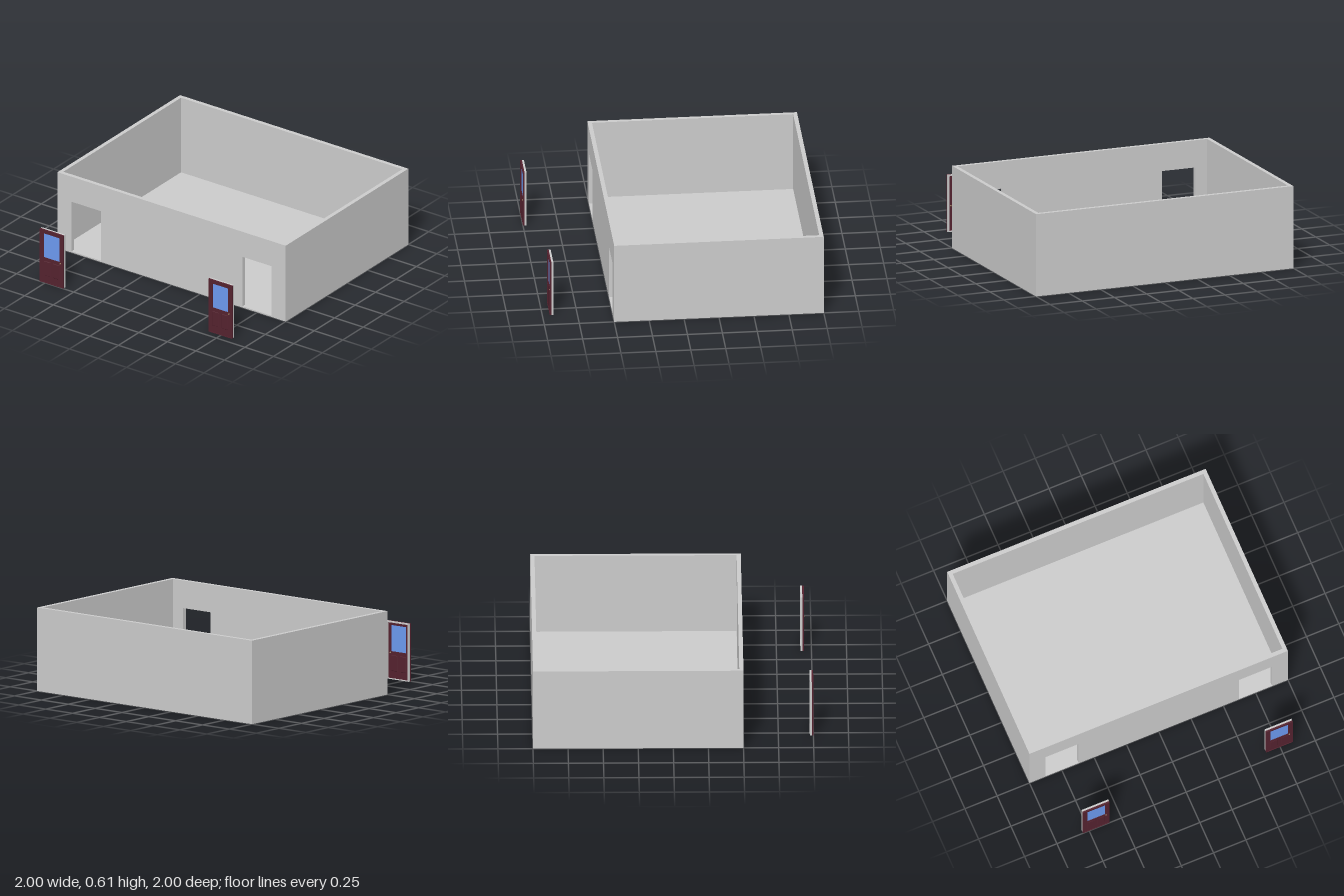
import * as THREE from 'three';

const grey = new THREE.MeshStandardMaterial({ color: 0xcccccc });
const maroon = new THREE.MeshStandardMaterial({ color: 0x55222f });
const glassBlue = new THREE.MeshStandardMaterial({ color: 0x6c9af0 });
const brass = new THREE.MeshStandardMaterial({ color: 0xb09a70 });

function add(parent, name, geometry, material, x = 0, y = 0, z = 0) {
  const mesh = new THREE.Mesh(geometry, material);
  mesh.name = name;
  mesh.position.set(x, y, z);
  parent.add(mesh);
  return mesh;
}

// Closed outline from corner pairs
const outline = (pts) => pts.map(([x, y]) => new THREE.Vector2(x, y));
const rect = (x0, y0, x1, y1) => outline([[x0, y0], [x1, y0], [x1, y1], [x0, y1]]);

// Flat plate in the xy plane with rectangular holes
function plate(points, holes, depth) {
  const shape = new THREE.Shape(points);
  for (const h of holes) shape.holes.push(new THREE.Path(rect(...h)));
  return new THREE.ExtrudeGeometry(shape, { depth, bevelEnabled: false });
}

// Chamfered rectangular panel, base on z = 0
function raisedPanel(w, h, depth, inset) {
  const geo = new THREE.BoxGeometry(w, h, depth).toNonIndexed();
  const p = geo.attributes.position;
  for (let i = 0; i < p.count; i++) {
    if (p.getZ(i) > 0) {
      p.setX(i, p.getX(i) - Math.sign(p.getX(i)) * inset);
      p.setY(i, p.getY(i) - Math.sign(p.getY(i)) * inset);
    }
  }
  geo.computeVertexNormals();
  return geo;
}

function createDoor() {
  const door = new THREE.Group();
  const W = 0.103, H = 0.42, F = 0.01;

  // Frame: maroon face in front, pale lining behind
  const ring = [[-W + F, F * 0.5, W - F, H - F]];
  add(door, 'frameFront', plate(rect(-W, 0, W, H), ring, 0.012), maroon, 0, 0, 0.002);
  add(door, 'frameLining', plate(rect(-W, 0, W, H), ring, 0.014), grey, 0, 0, -0.012);

  // Leaf with a window opening
  const leaf = plate(rect(-W + F, F * 0.5, W - F, H - F), [[-0.068, 0.2, 0.068, 0.39]], 0.011);
  add(door, 'leaf', leaf, maroon, 0, 0, 0);
  add(door, 'windowPane', new THREE.BoxGeometry(0.136, 0.19, 0.005), glassBlue, 0, 0.295, 0.0055);

  // Lower panels and knobs on both faces
  for (const side of [1, -1]) {
    const face = new THREE.Group();
    face.name = side > 0 ? 'frontTrim' : 'backTrim';
    face.position.z = 0.0055;
    if (side < 0) face.rotation.y = Math.PI;
    for (const x of [-0.04, 0.04]) {
      add(face, 'lowerPanel', raisedPanel(0.062, 0.12, 0.004, 0.006), maroon, x, 0.115, 0.0055);
    }
    add(face, 'knob', new THREE.SphereGeometry(0.005, 12, 8), brass, side * 0.076, 0.19, 0.0075);
    door.add(face);
  }
  return door;
}

export function createModel() {
  const model = new THREE.Group();
  model.name = 'roomWithDoors';
  const T = 0.03, H = 0.605, FLOOR = 0.01, Z0 = -1, Z1 = 0.5;

  // Side and back walls: U-shaped plan raised upward
  const plan = outline([[-1, -Z1 + T], [-1 + T, -Z1 + T], [-1 + T, -Z0 - T], [1 - T, -Z0 - T],
    [1 - T, -Z1 + T], [1, -Z1 + T], [1, -Z0], [-1, -Z0]]);
  add(model, 'sideAndBackWalls', plate(plan, [], H), grey).rotation.x = -Math.PI / 2;

  // Front wall with two doorways
  const doorways = [[-0.877, FLOOR, -0.62, 0.405], [0.62, FLOOR, 0.877, 0.405]];
  add(model, 'frontWall', plate(rect(-1, 0, 1, H), doorways, T), grey, 0, 0, Z1 - T);

  // Floor slab between the walls
  add(model, 'floor', new THREE.BoxGeometry(2 - 2 * T, FLOOR, Z1 - Z0 - 2 * T), grey,
    0, FLOOR / 2, (Z0 + Z1) / 2);

  // Loose doors standing ahead of the doorways
  for (const [name, x, z] of [['rightDoor', -0.695, 0.986], ['leftDoor', 0.745, 0.933]]) {
    const door = createDoor();
    door.name = name;
    door.position.set(x, 0, z);
    model.add(door);
  }
  return model;
}
